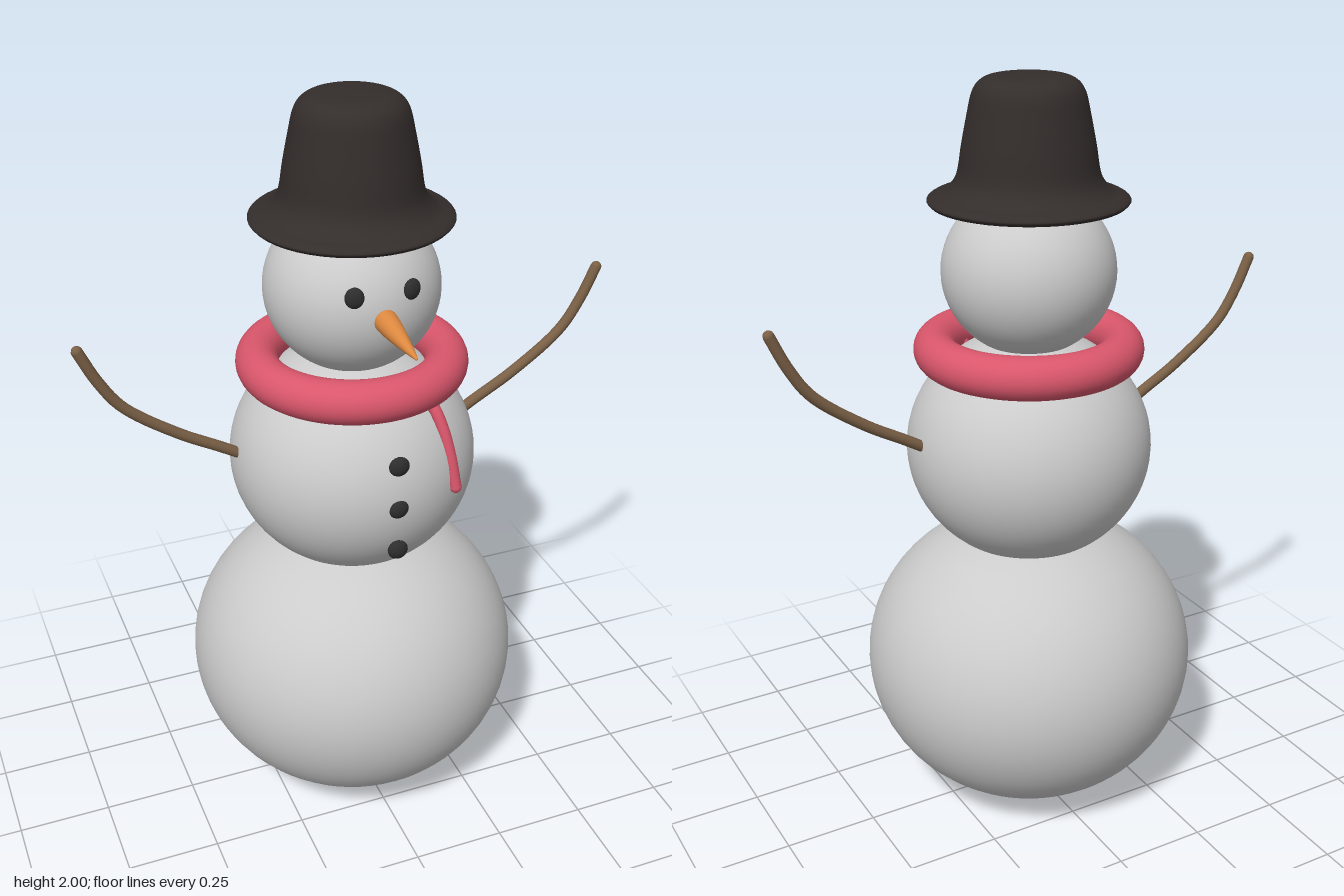
import * as THREE from 'three';

const paint = (color) => new THREE.MeshStandardMaterial({ color });
const snow = paint(0xcccccc);
const coal = paint(0x2e2e2e);
const felt = paint(0x332d2b);
const wool = paint(0xd9566b);
const wood = paint(0x7a6046);
const carrot = paint(0xdd8840);

const vec = (p) => new THREE.Vector3(...p);

export function createModel() {
  const model = new THREE.Group();
  model.name = 'snowman';

  const add = (name, geometry, material, position = [0, 0, 0], parent = model) => {
    const mesh = new THREE.Mesh(geometry, material);
    mesh.name = name;
    mesh.position.set(...position);
    parent.add(mesh);
    return mesh;
  };

  const ellipsoid = (name, material, position, radii, segments = 48) => {
    const ball = add(name, new THREE.SphereGeometry(1, segments, segments / 2), material, position);
    ball.scale.set(...radii);
    return ball;
  };

  // Smooth lathe from a few profile points joined by a spline
  const turned = (points, samples) => {
    const curve = new THREE.SplineCurve(points.map(([r, y]) => new THREE.Vector2(r, y)));
    const profile = curve.getPoints(samples);
    profile.forEach((p) => { p.x = Math.max(0, p.x); });
    return new THREE.LatheGeometry(profile, 48);
  };

  // Round rod along a spline, with a ball closing each end
  const rod = (name, points, radius, material) => {
    const group = new THREE.Group();
    group.name = name;
    model.add(group);
    const path = new THREE.CatmullRomCurve3(points.map(vec));
    add(name + 'Rod', new THREE.TubeGeometry(path, 32, radius, 12), material, [0, 0, 0], group);
    for (const end of [points[0], points[points.length - 1]]) {
      add(name + 'End', new THREE.SphereGeometry(radius, 12, 8), material, end, group);
    }
  };

  // Three slightly squashed snowballs
  ellipsoid('lowerBody', snow, [0, 0.41, 0], [0.45, 0.41, 0.45], 64);
  ellipsoid('upperBody', snow, [0, 1.035, 0], [0.325, 0.31, 0.325], 64);
  ellipsoid('head', snow, [0, 1.51, 0], [0.225, 0.217, 0.225], 64);

  // Coal buttons in a straight row
  for (const y of [0.91, 1.032, 1.155]) {
    ellipsoid('button', coal, [0, y, 0.32], [0.027, 0.026, 0.016], 20);
  }

  // Eyes and arms, mirrored
  for (const [side, s] of [['left', 1], ['right', -1]]) {
    const eye = ellipsoid(side + 'Eye', coal, [s * 0.074, 1.57, 0.206], [0.024, 0.027, 0.014], 20);
    eye.rotation.y = s * 0.3;
    rod(side + 'Arm', [
      [s * 0.27, 1.062, 0], [s * 0.36, 1.115, 0], [s * 0.47, 1.178, 0], [s * 0.605, 1.28, 0],
      [s * 0.66, 1.36, 0], [s * 0.702, 1.448, 0],
    ], 0.0145, wood);
  }

  // Carrot nose with a rounded base, tip dipping a little
  const noseShape = turned([[0, -0.012], [0.02, -0.006], [0.029, 0.012], [0.025, 0.07], [0.013, 0.15], [0.004, 0.2], [0, 0.205]], 32);
  const nose = add('nose', noseShape, carrot, [0, 1.507, 0.205]);
  nose.rotation.x = Math.PI / 2 + 0.08;

  // Scarf ring and its hanging end
  const scarf = add('scarf', new THREE.TorusGeometry(0.244, 0.056, 24, 64), wool, [0, 1.305, 0]);
  scarf.rotation.x = Math.PI / 2;
  const tailAngle = 0.555;
  const tail = [[0.2, 1.285], [0.25, 1.25], [0.284, 1.195], [0.311, 1.12], [0.331, 1.035]];
  rod('scarfTail', tail.map(([r, y]) => [r * Math.sin(tailAngle), y, r * Math.cos(tailAngle)]), 0.0155, wool);

  // Hat: underside, rolled brim, flared crown and soft top
  const hat = new THREE.Group();
  hat.name = 'hat';
  model.add(hat);
  const crown = turned([
    [0.248, 1.684], [0.256, 1.694], [0.245, 1.704], [0.21, 1.718], [0.181, 1.755], [0.167, 1.83],
    [0.153, 1.9], [0.139, 1.958], [0.117, 1.986], [0.08, 1.997], [0, 2],
  ], 60);
  add('hatCrown', crown, felt, [0, 0, 0], hat);
  add('hatUnderside', turned([[0, 1.7], [0.15, 1.697], [0.22, 1.687], [0.248, 1.684]], 12), felt, [0, 0, 0], hat);

  return model;
}
